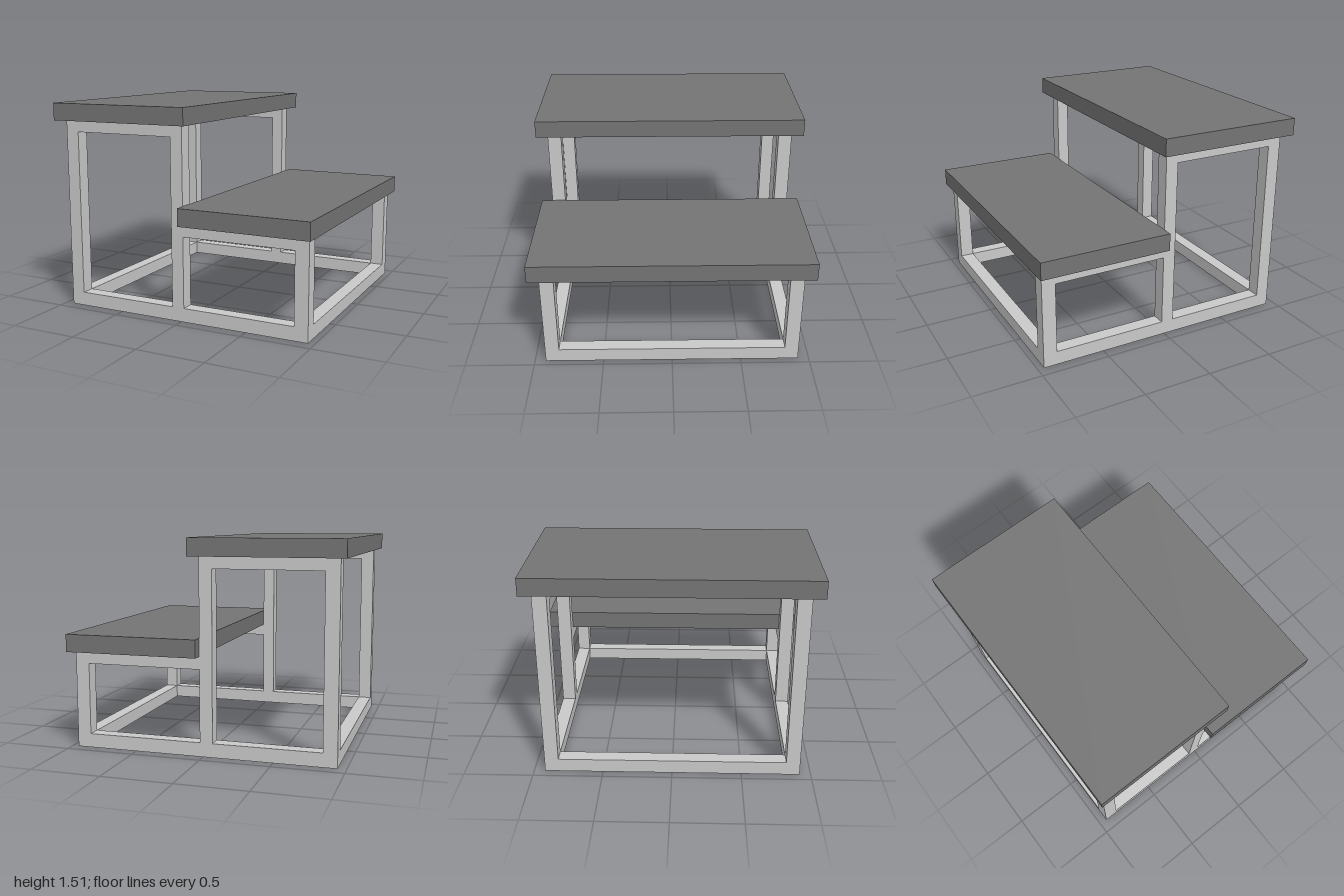
import * as THREE from 'three';

export function createModel() {
  const model = new THREE.Group();
  model.name = 'twoStepStool';

  const treadGrey = new THREE.MeshStandardMaterial({ color: 0x747474 });
  treadGrey.name = 'dark grey tread';
  const frameGrey = new THREE.MeshStandardMaterial({ color: 0xc9c9c9 });
  frameGrey.name = 'light grey frame';

  // Box given by its minimum and maximum corners
  const addBox = (name, [x0, y0, z0], [x1, y1, z1], material) => {
    const mesh = new THREE.Mesh(new THREE.BoxGeometry(x1 - x0, y1 - y0, z1 - z0), material);
    mesh.position.set((x0 + x1) / 2, (y0 + y1) / 2, (z0 + z1) / 2);
    mesh.name = name;
    model.add(mesh);
  };

  const rectangle = (x0, y0, x1, y1) => new THREE.Path([
    new THREE.Vector2(x0, y0), new THREE.Vector2(x0, y1),
    new THREE.Vector2(x1, y1), new THREE.Vector2(x1, y0),
  ]);

  // L-shaped side frame with a tall and a low opening
  const outline = new THREE.Shape([
    [-0.94, 0], [0.955, 0], [0.955, 0.705], [0.022, 0.705], [0.022, 1.39], [-0.94, 1.39],
  ].map(([x, y]) => new THREE.Vector2(x, y)));
  outline.holes.push(rectangle(-0.84, 0.1, -0.07, 1.305), rectangle(0.022, 0.1, 0.855, 0.615));
  const frameGeometry = new THREE.ExtrudeGeometry(outline, { depth: 0.1, bevelEnabled: false });

  for (const [name, z] of [['frontFrame', 0.82], ['backFrame', -0.92]]) {
    const frame = new THREE.Mesh(frameGeometry, frameGrey);
    frame.position.z = z;
    frame.name = name;
    model.add(frame);
  }

  // Floor rails joining the two frames
  addBox('rightFloorRail', [-0.94, 0, -0.82], [-0.84, 0.1, 0.82], frameGrey);
  addBox('leftFloorRail', [0.855, 0, -0.82], [0.955, 0.1, 0.82], frameGrey);

  // Treads
  addBox('upperTread', [-0.99, 1.39, -1], [0.08, 1.515, 1], treadGrey);
  addBox('lowerTread', [0.024, 0.705, -1], [0.99, 0.832, 1], treadGrey);

  return model;
}
